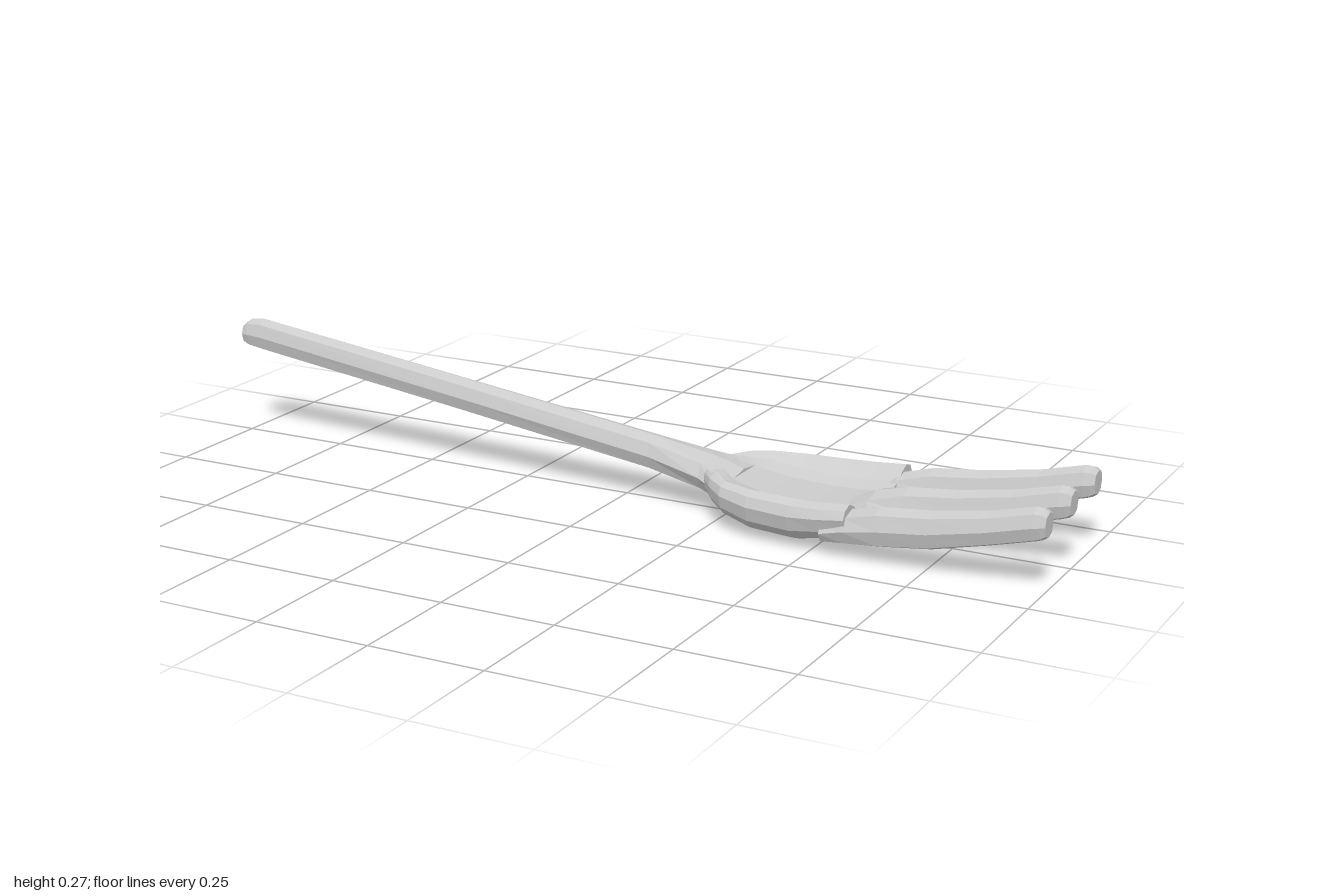
import * as THREE from 'three';

const material = new THREE.MeshStandardMaterial({ color: 0xcccccc, flatShading: true });

// Skins a list of equal-length rings (ordered +z towards +y, x increasing) and caps both ends.
function loft(name, rings) {
  const pos = [];
  const tri = (a, b, c) => pos.push(...a, ...b, ...c);
  const n = rings[0].length;
  for (let i = 0; i < rings.length - 1; i++) {
    const p = rings[i], q = rings[i + 1];
    for (let j = 0; j < n; j++) {
      const k = (j + 1) % n;
      tri(p[j], q[j], p[k]);
      tri(q[j], q[k], p[k]);
    }
  }
  const cap = (ring, sign) => {
    const outline = ring.map(([, y, z]) => new THREE.Vector2(z, y));
    for (const [a, b, c] of THREE.ShapeUtils.triangulateShape(outline, [])) {
      const area = (outline[b].x - outline[a].x) * (outline[c].y - outline[a].y)
        - (outline[b].y - outline[a].y) * (outline[c].x - outline[a].x);
      // a counter-clockwise triangle in (z, y) faces -x
      if (area * sign < 0) tri(ring[a], ring[b], ring[c]);
      else tri(ring[a], ring[c], ring[b]);
    }
  };
  cap(rings[0], -1);
  cap(rings[rings.length - 1], 1);
  const geometry = new THREE.BufferGeometry();
  geometry.setAttribute('position', new THREE.Float32BufferAttribute(pos, 3));
  geometry.computeVertexNormals();
  const mesh = new THREE.Mesh(geometry, material);
  mesh.name = name;
  return mesh;
}

// Eight-sided bar section with a softly peaked top and bottom.
const OCTAGON = [[1, 0], [0.75, 0.75], [0, 1], [-0.75, 0.75], [-1, 0], [-0.75, -0.75], [0, -1], [0.75, -0.75]];
const barRing = (x, bottom, top, z0, z1) => OCTAGON.map(([u, v]) => [
  x,
  (top + bottom) / 2 + v * (top - bottom) / 2,
  (z0 + z1) / 2 + u * (z1 - z0) / 2,
]);

// Dished section: thick rounded rim, sunken floor, rounded underside.
function bowlRing([x, w, rim, floor, bottom]) {
  const h = rim - bottom;
  const half = [
    [0.42, bottom], [0.62, bottom + 0.07 * h], [0.83, bottom + 0.2 * h], [0.95, bottom + 0.4 * h],
    [1, bottom + 0.7 * h], [0.95, rim - 0.09 * h], [0.83, rim], [0.7, rim - 0.12 * h],
    [0.6, floor + 0.3 * (rim - floor)], [0.38, floor],
  ];
  const right = half.map(([f, y]) => [x, y, f * w]);
  const left = half.map(([f, y]) => [x, y, -f * w]).reverse();
  return [...right, [x, floor, 0], ...left, [x, bottom, 0]];
}

export function createModel() {
  const fork = new THREE.Group();
  fork.name = 'fork';

  // Handle: x, bottom, top, half width
  const handle = [
    [-1, 0.212, 0.258, 0.022], [-0.985, 0.204, 0.268, 0.027], [-0.95, 0.198, 0.272, 0.03],
    [-0.4, 0.128, 0.202, 0.034], [0.07, 0.067, 0.141, 0.041],
    [0.2, 0.046, 0.12, 0.062], [0.24, 0.038, 0.111, 0.082], [0.28, 0.03, 0.098, 0.085],
  ];
  fork.add(loft('handle', handle.map(([x, b, t, w]) => barRing(x, b, t, -w, w))));

  // Bowl: x, half width, rim height, floor height, underside height
  const bowl = [
    [0.22, 0.07, 0.105, 0.105, 0.045], [0.25, 0.108, 0.108, 0.103, 0.033],
    [0.29, 0.142, 0.107, 0.087, 0.019], [0.36, 0.166, 0.105, 0.074, 0.003],
    [0.46, 0.178, 0.105, 0.068, 0], [0.52, 0.181, 0.107, 0.07, 0.013],
    [0.585, 0.181, 0.112, 0.077, 0.029],
  ];
  fork.add(loft('bowl', bowl.map(bowlRing)));

  // Tines: x, bottom, top, middle half width, inner and outer z of the side tines
  const tines = [
    [0.53, 0.025, 0.074, 0.06, 0.09, 0.178], [0.58, 0.027, 0.098, 0.062, 0.088, 0.181],
    [0.65, 0.032, 0.116, 0.042, 0.104, 0.181], [0.76, 0.046, 0.127, 0.036, 0.11, 0.181],
    [0.88, 0.075, 0.147, 0.034, 0.113, 0.181], [0.975, 0.1, 0.171, 0.033, 0.115, 0.181],
    [0.99, 0.105, 0.17, 0.03, 0.118, 0.178], [1, 0.112, 0.163, 0.024, 0.124, 0.172],
  ];
  fork.add(loft('middleTine', tines.map(([x, b, t, w]) => barRing(x, b, t, -w, w))));
  fork.add(loft('frontTine', tines.map(([x, b, t, , z0, z1]) => barRing(x, b, t, z0, z1))));
  fork.add(loft('backTine', tines.map(([x, b, t, , z0, z1]) => barRing(x, b, t, -z1, -z0))));
  return fork;
}
